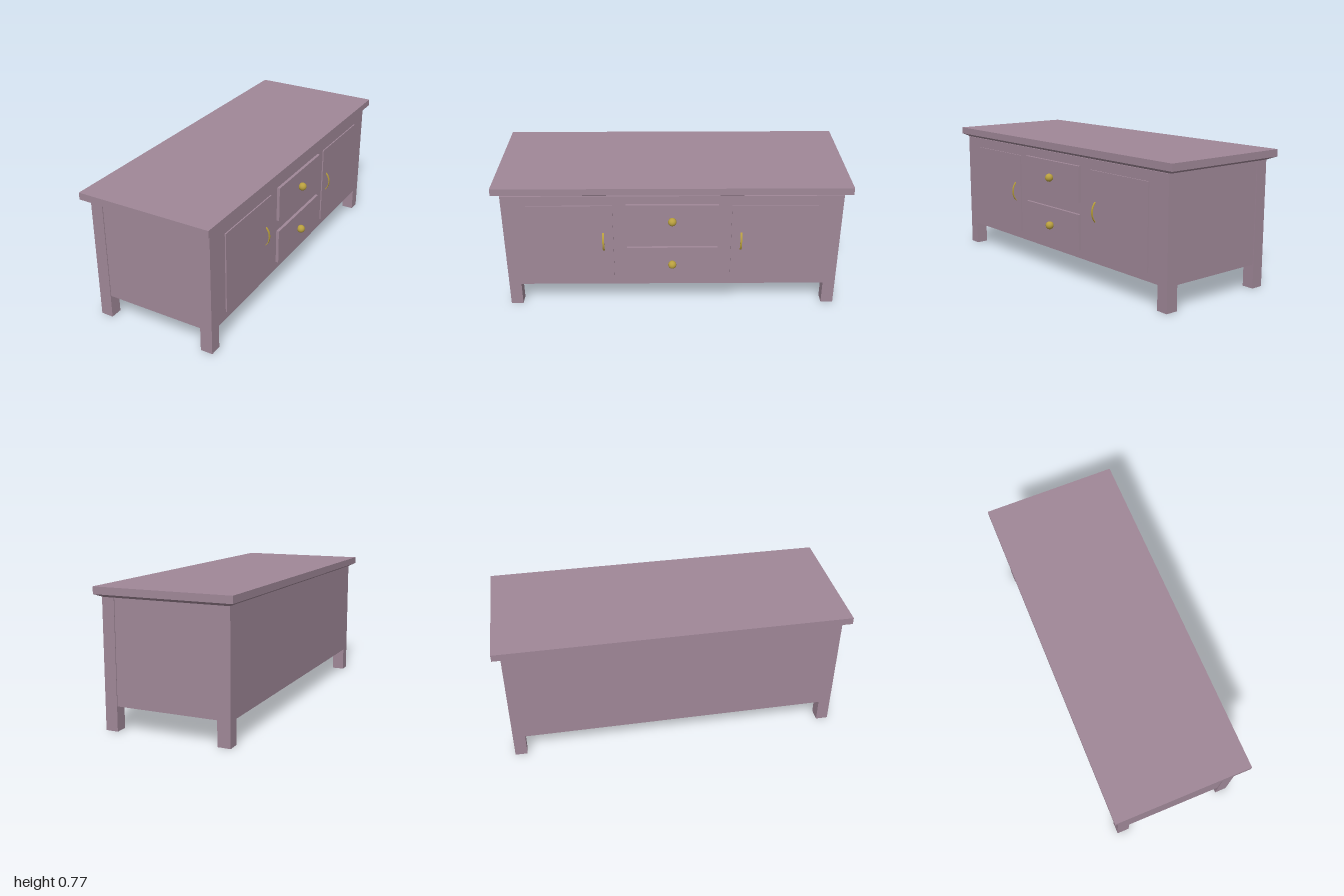
import * as THREE from 'three';

const paint = new THREE.MeshStandardMaterial({ color: 0x9f8797 });
paint.name = 'mauve paint';
const brass = new THREE.MeshStandardMaterial({ color: 0xb89f3e });
brass.name = 'brass';

export function createModel() {
  const model = new THREE.Group();
  model.name = 'sideboard';

  const add = (name, geometry, material) => {
    const mesh = new THREE.Mesh(geometry, material);
    mesh.name = name;
    model.add(mesh);
    return mesh;
  };
  // Box given by its lower and upper limits on each axis
  const box = (name, x0, x1, y0, y1, z0, z1) =>
    add(name, new THREE.BoxGeometry(x1 - x0, y1 - y0, z1 - z0), paint)
      .position.set((x0 + x1) / 2, (y0 + y1) / 2, (z0 + z1) / 2);

  const back = -0.375, front = 0.354, bottom = 0.137, top = 0.715;

  // Carcass with slightly recessed end panels between the legs
  box('carcass', back, front, bottom, top, -0.885, 0.885);
  for (const s of [-1, 1]) {
    const [z0, z1] = s > 0 ? [0.885, 0.95] : [-0.95, -0.885];
    box('endPanel', -0.302, 0.283, bottom, top, z0, z1);
    const [l0, l1] = s > 0 ? [0.885, 0.955] : [-0.955, -0.885];
    box('backLeg', back, -0.302, 0, top, l0, l1);
    box('frontLeg', 0.283, front, 0, top, l0, l1);
  }

  // Table top with a bevelled underside
  box('tableTop', -0.41, 0.378, 0.733, 0.773, -1, 1);
  const bevel = new THREE.BoxGeometry(0.788, 0.018, 2);
  const p = bevel.attributes.position;
  for (let i = 0; i < p.count; i++) {
    if (p.getY(i) < 0) {
      p.setX(i, p.getX(i) < 0 ? -0.359 : 0.361);
      p.setZ(i, Math.sign(p.getZ(i)) * 0.957);
    }
  }
  bevel.computeVertexNormals();
  add('topBevel', bevel, paint).position.set(-0.016, 0.724, 0);

  // Curved strap handle, a thin arc band extruded across its width
  const r = 0.0834, half = Math.asin(0.0575 / r);
  const band = new THREE.Shape();
  band.absarc(0, 0, r, -half, half, false);
  band.absarc(0, 0, r - 0.004, half, -half, true);
  const strap = new THREE.ExtrudeGeometry(band, { depth: 0.011, bevelEnabled: false, curveSegments: 20 });
  strap.translate(0.384 - r, 0.428, -0.0055);

  // Doors
  for (const s of [-1, 1]) {
    const [z0, z1] = s > 0 ? [0.335, 0.815] : [-0.815, -0.335];
    box('door', front, 0.361, 0.183, 0.658, z0, z1);
    add('doorHandle', strap, brass).position.z = s * 0.391;
  }

  // Drawers with round knobs
  for (const [y0, y1, knobY] of [[0.46, 0.666, 0.569], [0.186, 0.392, 0.287]]) {
    box('drawer', front, 0.371, y0, y1, -0.258, 0.258);
    add('drawerKnob', new THREE.SphereGeometry(0.0235, 32, 20), brass).position.set(0.386, knobY, 0);
  }

  return model;
}
